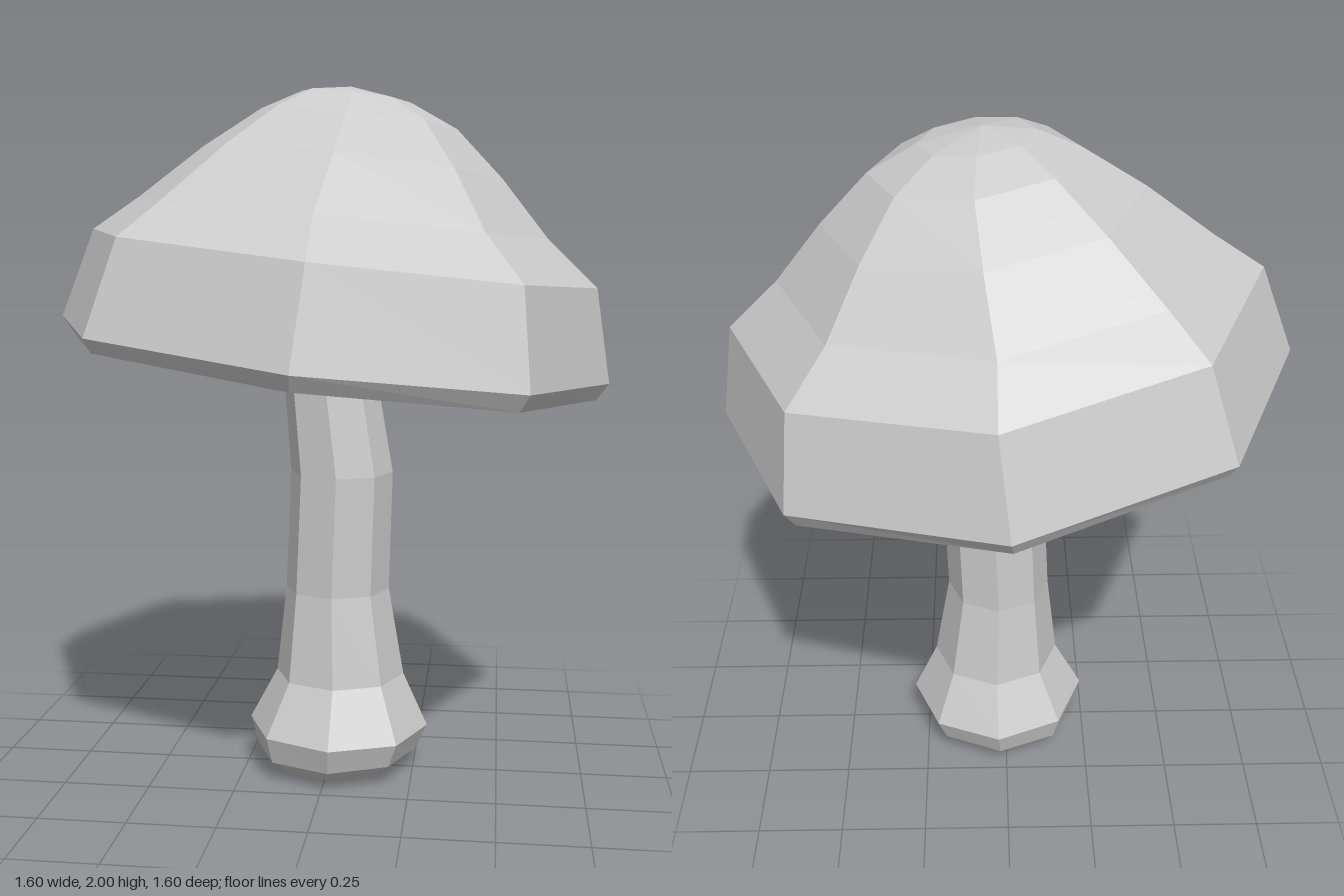
import * as THREE from 'three';

const SIDES = 8;

// Skins a stack of octagonal rings [centreX, y, centreZ, radius, slope], where
// slope tilts the ring along x. Rings run upward along the outer surface.
function loft(name, rings, material) {
  const positions = [];
  const corner = ([cx, y, cz, r, slope], k) => {
    const a = (k % SIDES) / SIDES * Math.PI * 2;
    const dx = Math.cos(a) * r;
    return [cx + dx, y + dx * slope, cz + Math.sin(a) * r];
  };
  for (let i = 0; i < rings.length - 1; i++) {
    const low = rings[i], high = rings[i + 1];
    for (let k = 0; k < SIDES; k++) {
      const a = corner(low, k), b = corner(low, k + 1);
      const c = corner(high, k + 1), d = corner(high, k);
      if (high[3] > 0) positions.push(...a, ...d, ...c);
      if (low[3] > 0) positions.push(...a, ...c, ...b);
      else continue;
      if (high[3] === 0) continue;
    }
  }
  const geometry = new THREE.BufferGeometry();
  geometry.setAttribute('position', new THREE.Float32BufferAttribute(positions, 3));
  geometry.computeVertexNormals();
  const mesh = new THREE.Mesh(geometry, material);
  mesh.name = name;
  return mesh;
}

export function createModel() {
  const group = new THREE.Group();
  group.name = 'mushroom';
  const material = new THREE.MeshStandardMaterial({ color: 0xcccccc, flatShading: true });

  // Stem: bulbous foot, slim bent shaft, flared collar under the cap
  group.add(loft('stem', [
    [0.03, 0, 0, 0, 0],
    [0.03, 0.01, 0, 0.17, 0.03],
    [0.02, 0.06, 0, 0.24, 0.01],
    [0.025, 0.135, 0, 0.267, -0.01],
    [0.03, 0.29, 0, 0.19, 0],
    [0.022, 0.55, 0, 0.153, 0],
    [0.035, 0.9, 0.005, 0.15, 0],
    [-0.005, 1.23, 0, 0.135, -0.1],
    [0, 1.41, 0, 0.24, -0.115],
    [0, 1.43, 0, 0, 0],
  ], material));

  // Cap: hollow underside, bevelled rim, steep skirt, rounded crown, all tilted
  group.add(loft('cap', [
    [0, 1.42, 0, 0, 0],
    [0, 1.41, 0, 0.27, -0.115],
    [0, 1.33, 0, 0.35, -0.115],
    [-0.005, 1.215, 0, 0.77, -0.125],
    [0, 1.258, 0, 0.8, -0.115],
    [0.03, 1.52, 0, 0.73, -0.115],
    [0.03, 1.635, 0, 0.59, -0.105],
    [0.06, 1.79, -0.01, 0.43, -0.115],
    [0.08, 1.912, -0.01, 0.28, -0.115],
    [0.075, 1.972, 0, 0.155, -0.12],
    [0.06, 2, 0, 0, 0],
  ], material));

  return group;
}
